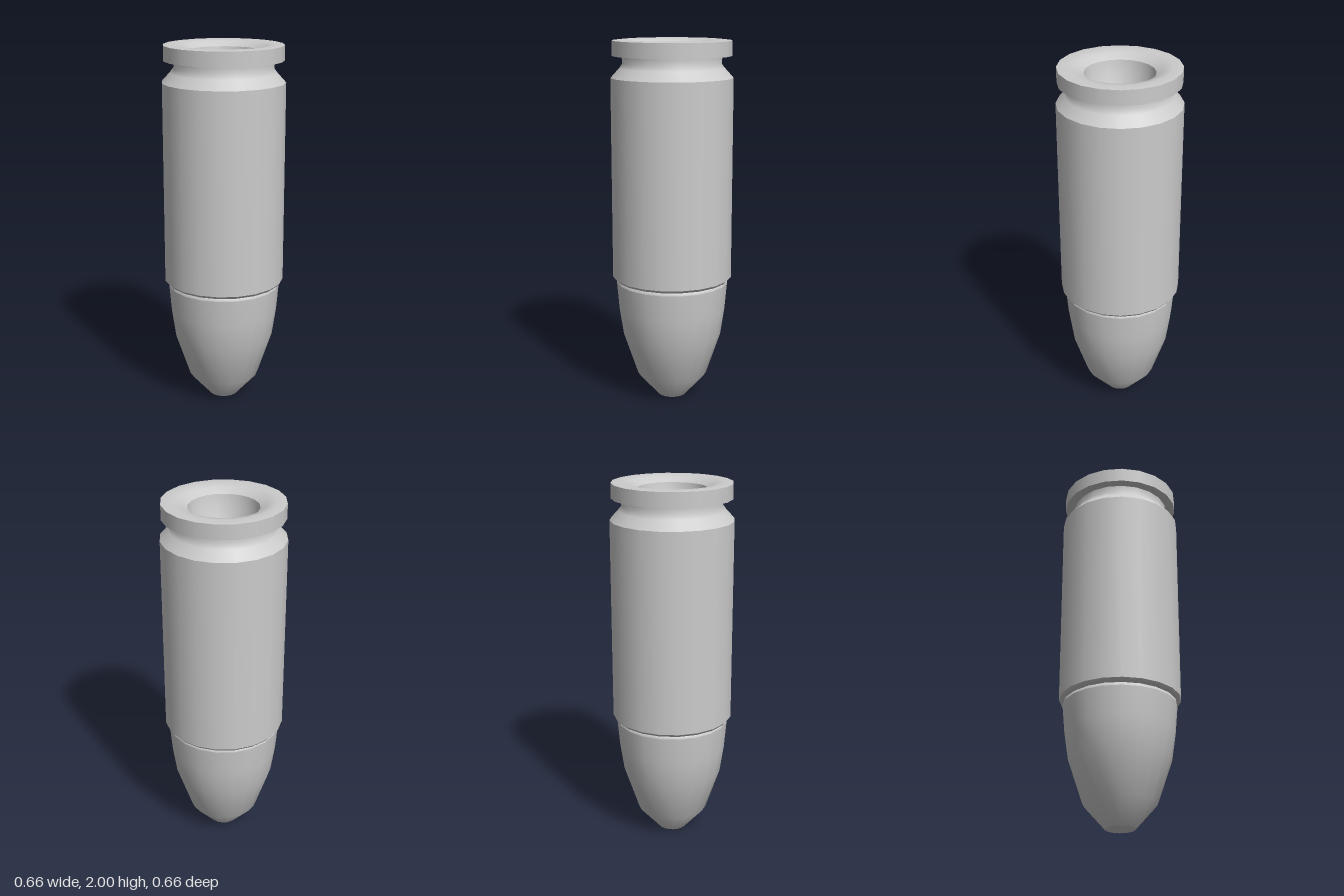
import * as THREE from 'three';

const SIDES = 20;
const material = new THREE.MeshStandardMaterial({ color: 0xcccccc });

// Each section is a run of [radius, y] points; edges between sections stay sharp.
function turned(name, sections) {
  const group = new THREE.Group();
  group.name = name;
  sections.forEach((section, i) => {
    const points = section.map(([r, y]) => new THREE.Vector2(r, y));
    const mesh = new THREE.Mesh(new THREE.LatheGeometry(points, SIDES), material);
    mesh.name = `${name}Section${i + 1}`;
    group.add(mesh);
  });
  return group;
}

export function createModel() {
  const model = new THREE.Group();
  model.name = 'cartridge';

  // Tapered nose standing on its flat tip
  model.add(turned('nose', [
    [[0, 0], [0.08, 0]],
    [[0.08, 0], [0.195, 0.13], [0.275, 0.37], [0.297, 0.52], [0.31, 0.67]],
    [[0.31, 0.67], [0.307, 0.685], [0.29, 0.695]],
  ]));

  // Straight sleeve with a rolled lower lip and a sloping shoulder
  model.add(turned('sleeve', [
    [[0.28, 0.69], [0.318, 0.69], [0.331, 0.705]],
    [[0.331, 0.705], [0.331, 1.8]],
    [[0.331, 1.8], [0.285, 1.85], [0.267, 1.875], [0.27, 1.915]],
  ]));

  // Flanged rim with a dished top
  model.add(turned('rim', [
    [[0.265, 1.915], [0.322, 1.915]],
    [[0.322, 1.915], [0.322, 1.995]],
    [[0.322, 1.995], [0.27, 2], [0.225, 1.99], [0.185, 1.965]],
  ]));

  // Sunken centre: steep wall, sloping floor and small flat disc
  model.add(turned('recess', [
    [[0.185, 1.965], [0.175, 1.9], [0.15, 1.83]],
    [[0.15, 1.83], [0.052, 1.79]],
    [[0.052, 1.79], [0, 1.79]],
  ]));

  return model;
}
